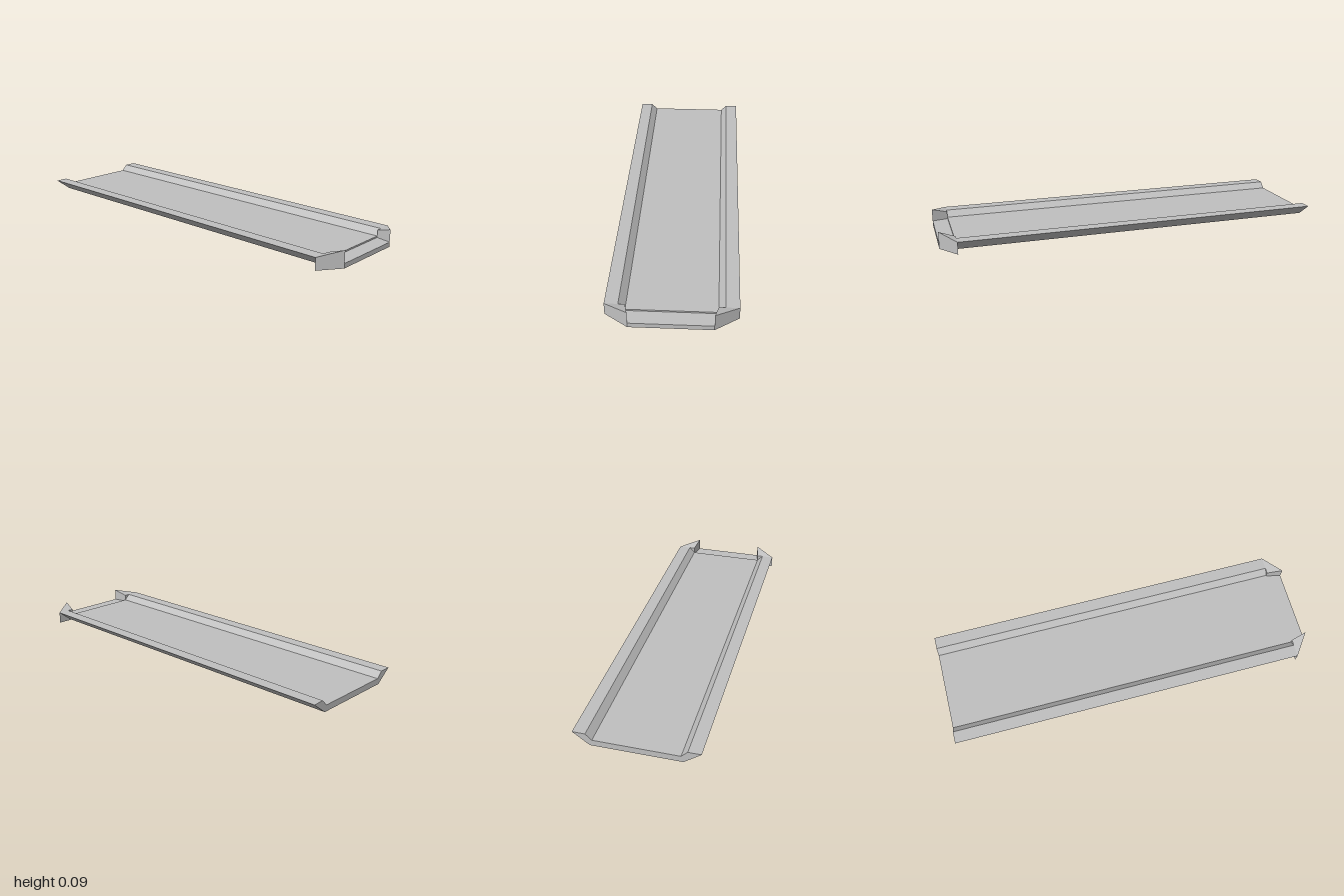
import * as THREE from 'three';
import { ConvexGeometry } from 'three/addons/geometries/ConvexGeometry.js';

export function createModel() {
  const grey = new THREE.MeshStandardMaterial({ color: 0xc0c0c0 });
  grey.name = 'plain grey';

  const model = new THREE.Group();
  model.name = 'channelTray';
  const tray = new THREE.Group();
  tray.name = 'tray';
  // The tray lies diagonally across the ground plane
  tray.rotation.y = 0.577;
  tray.position.set(0.004, 0, 0.003);
  model.add(tray);

  const BACK = -0.99, JOINT = 0.975, FRONT = 1.057;
  const HALF = 0.316, TIP = 0.2, INNER = 0.218;
  const RAIL_Y = 0.065, FLOOR_Y = 0.033, TAB_Y = 0.025, EAR_Y = 0.09;

  const add = (name, geometry) => {
    const mesh = new THREE.Mesh(geometry, grey);
    mesh.name = name;
    tray.add(mesh);
    return mesh;
  };
  const shapeOf = (pts) => new THREE.Shape(pts.map(([a, b]) => new THREE.Vector2(a, b)));

  // Long channel: sloped undersides, flat rails and a sunken floor
  const half = [[0.23, 0], [HALF, RAIL_Y], [0.25, RAIL_Y], [INNER, FLOOR_Y]];
  const mirrored = half.map(([x, y]) => [-x, y]).reverse();
  const channel = new THREE.ExtrudeGeometry(shapeOf([...half, ...mirrored]), {
    depth: JOINT - BACK, bevelEnabled: false,
  });
  channel.translate(0, 0, BACK);
  add('channel', channel);

  // Front tab, slightly lower than the floor
  const tab = new THREE.ExtrudeGeometry(
    shapeOf([[-HALF, -JOINT], [-TIP, -FRONT], [TIP, -FRONT], [HALF, -JOINT]]),
    { depth: TAB_Y, bevelEnabled: false },
  );
  tab.rotateX(-Math.PI / 2);
  add('frontTab', tab);

  // Corner ears rising toward the front on both sides
  for (const [side, name] of [[1, 'leftEar'], [-1, 'rightEar']]) {
    const plan = [[HALF, JOINT, RAIL_Y], [TIP, FRONT, EAR_Y], [INNER, JOINT, RAIL_Y]];
    const pts = plan.flatMap(([x, z, top]) => [
      new THREE.Vector3(side * x, TAB_Y, z),
      new THREE.Vector3(side * x, top, z),
    ]);
    add(name, new ConvexGeometry(pts));
  }

  return model;
}
